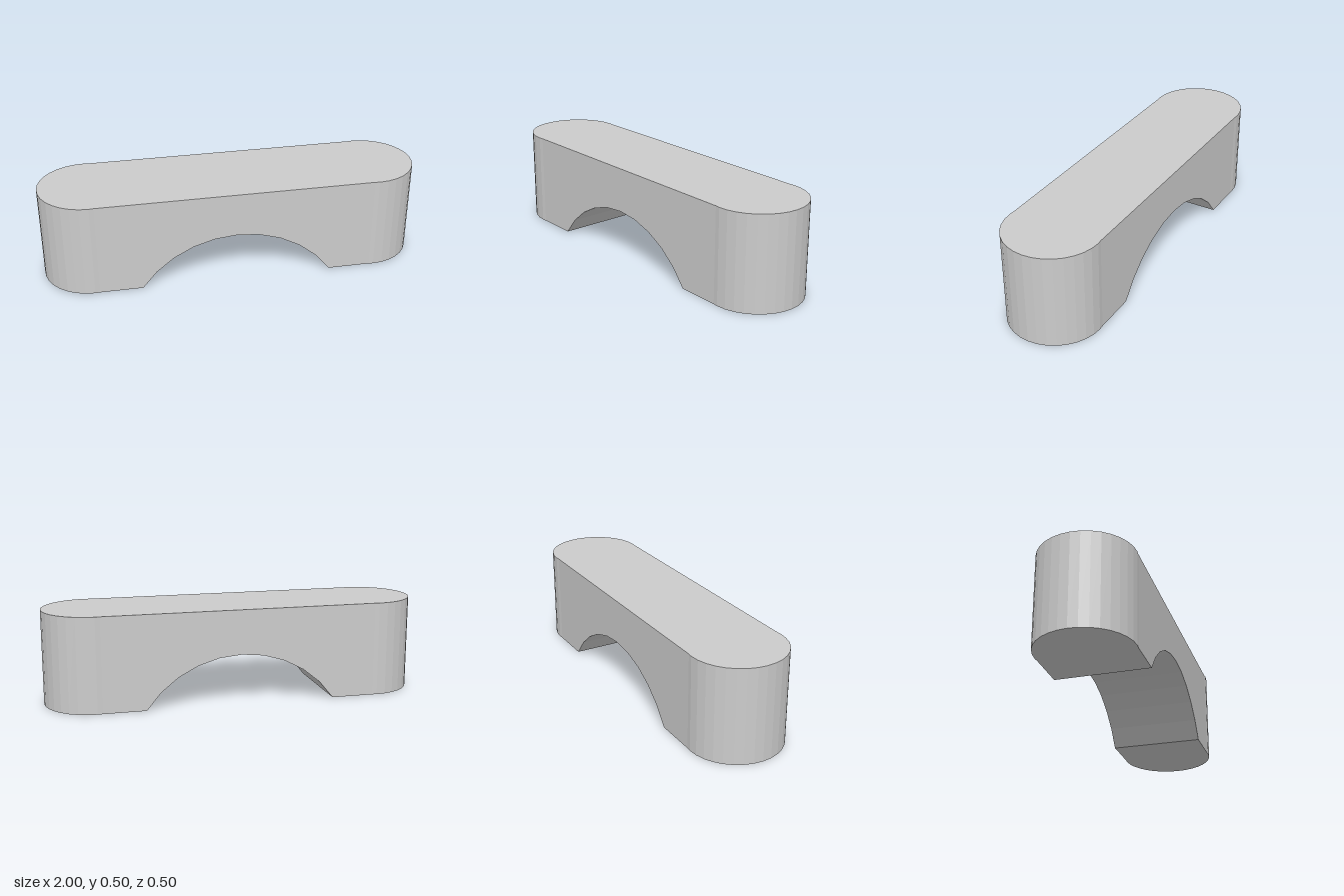
import * as THREE from 'three';

const END_X = 0.75, RADIUS = 0.25, HEIGHT = 0.5;
const BODY_DEPTH = 0.495; // a hair narrower than the round ends
const ARCH_HALF = 0.5, ARCH_RISE = 0.265, ARCH_STEPS = 10;

export function createModel() {
  const model = new THREE.Group();
  model.name = 'archedBlock';
  const material = new THREE.MeshStandardMaterial({ color: 0xcccccc, flatShading: true });

  // Straight body with a circular arch cut from its underside
  const r = (ARCH_HALF ** 2 + ARCH_RISE ** 2) / (2 * ARCH_RISE);
  const sweep = Math.asin(ARCH_HALF / r);
  const outline = new THREE.Shape();
  outline.moveTo(-END_X, 0);
  for (let i = 0; i <= ARCH_STEPS; i++) {
    const a = sweep * (2 * i / ARCH_STEPS - 1);
    outline.lineTo(r * Math.sin(a), Math.max(0, ARCH_RISE - r + r * Math.cos(a)));
  }
  outline.lineTo(END_X, 0);
  outline.lineTo(END_X, HEIGHT);
  outline.lineTo(-END_X, HEIGHT);
  outline.closePath();
  const bodyGeometry = new THREE.ExtrudeGeometry(outline, { depth: BODY_DEPTH, bevelEnabled: false });
  bodyGeometry.translate(0, 0, -BODY_DEPTH / 2);
  const body = new THREE.Mesh(bodyGeometry, material);
  body.name = 'archedBody';
  model.add(body);

  // Round pillar at each end
  const endGeometry = new THREE.CylinderGeometry(RADIUS, RADIUS, HEIGHT, 32);
  for (const side of [-1, 1]) {
    const end = new THREE.Mesh(endGeometry, material);
    end.name = side > 0 ? 'leftRoundEnd' : 'rightRoundEnd';
    end.position.set(side * END_X, HEIGHT / 2, 0);
    model.add(end);
  }
  return model;
}
